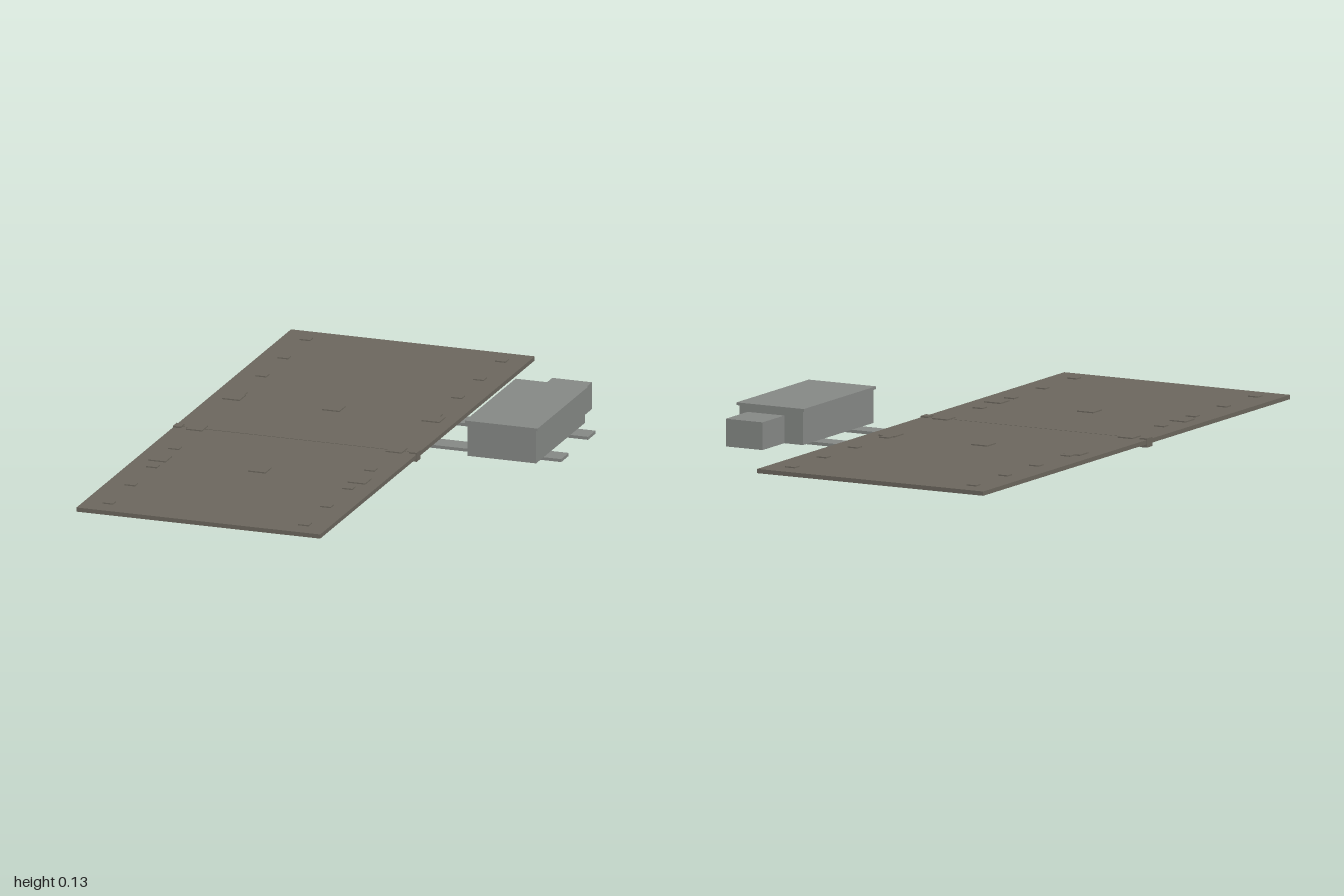
import * as THREE from 'three';

export function createModel() {
  const model = new THREE.Group();
  const deckMat = new THREE.MeshStandardMaterial({ color: 0x6b665d });
  deckMat.name = 'deck brown';
  const steelMat = new THREE.MeshStandardMaterial({ color: 0x858885 });
  steelMat.name = 'steel grey';

  // Box given by its lower and upper limits on each axis
  function block(name, mat, [x0, x1], [y0, y1], [z0, z1], parent = model) {
    const mesh = new THREE.Mesh(new THREE.BoxGeometry(x1 - x0, y1 - y0, z1 - z0), mat);
    mesh.position.set((x0 + x1) / 2, (y0 + y1) / 2, (z0 + z1) / 2);
    mesh.name = name;
    parent.add(mesh);
    return mesh;
  }
  const around = (c, w) => [c - w / 2, c + w / 2];

  const left = 0.2, right = -0.63, middle = (left + right) / 2;
  const seam = 0.083, top = 0.03;

  // Two deck panels meeting at a narrow seam
  block('frontDeck', deckMat, [right, left], [0.016, top], [seam + 0.002, 1]);
  block('rearDeck', deckMat, [right, left], [0.016, top], [-1, seam - 0.002]);

  // Cross beam under the seam
  block('seamBeam', deckMat, [right, left], [0.008, 0.018], around(seam, 0.032));

  const pads = new THREE.Group();
  pads.name = 'deckPads';
  model.add(pads);
  for (const side of [-1, 1]) {
    // Hinge knuckles at the ends of the seam
    block('hinge', deckMat, around(middle + side * 0.402, 0.027), [0.005, 0.035], around(seam, 0.036));
    // Small pads along both long edges
    for (const end of [-1, 1])
      for (const z of [0.305, 0.51, 0.713, 0.918])
        block('smallPad', deckMat, around(middle + side * 0.333, 0.036), [top - 0.002, 0.034], around(end * z, 0.03), pads);
    block('hingePad', deckMat, around(middle + side * 0.34, 0.055), [top - 0.002, 0.034], around(seam, 0.055), pads);
  }

  // Larger pads in two rows across the deck
  for (const z of [seam + 0.345, seam - 0.345])
    for (const dx of [-0.34, 0, 0.34])
      block('largePad', deckMat, around(middle + dx, 0.06), [top - 0.002, 0.034], around(z, 0.058), pads);

  // Flat rails carrying the power unit
  for (const z of [-0.355, -0.105])
    block('supportRail', steelMat, [0.16, 0.63], [0, 0.01], around(z, 0.07));

  // Power unit: body, overhanging lid and rear box
  const unit = new THREE.Group();
  unit.name = 'powerUnit';
  model.add(unit);
  block('unitBody', steelMat, [0.337, 0.57], [0.01, 0.12], [-0.458, 0], unit);
  block('unitLid', steelMat, [0.33, 0.577], [0.12, 0.129], [-0.466, 0.005], unit);
  block('unitRearBox', steelMat, [0.406, 0.541], [0.01, 0.1], [-0.6, -0.458], unit);

  return model;
}
